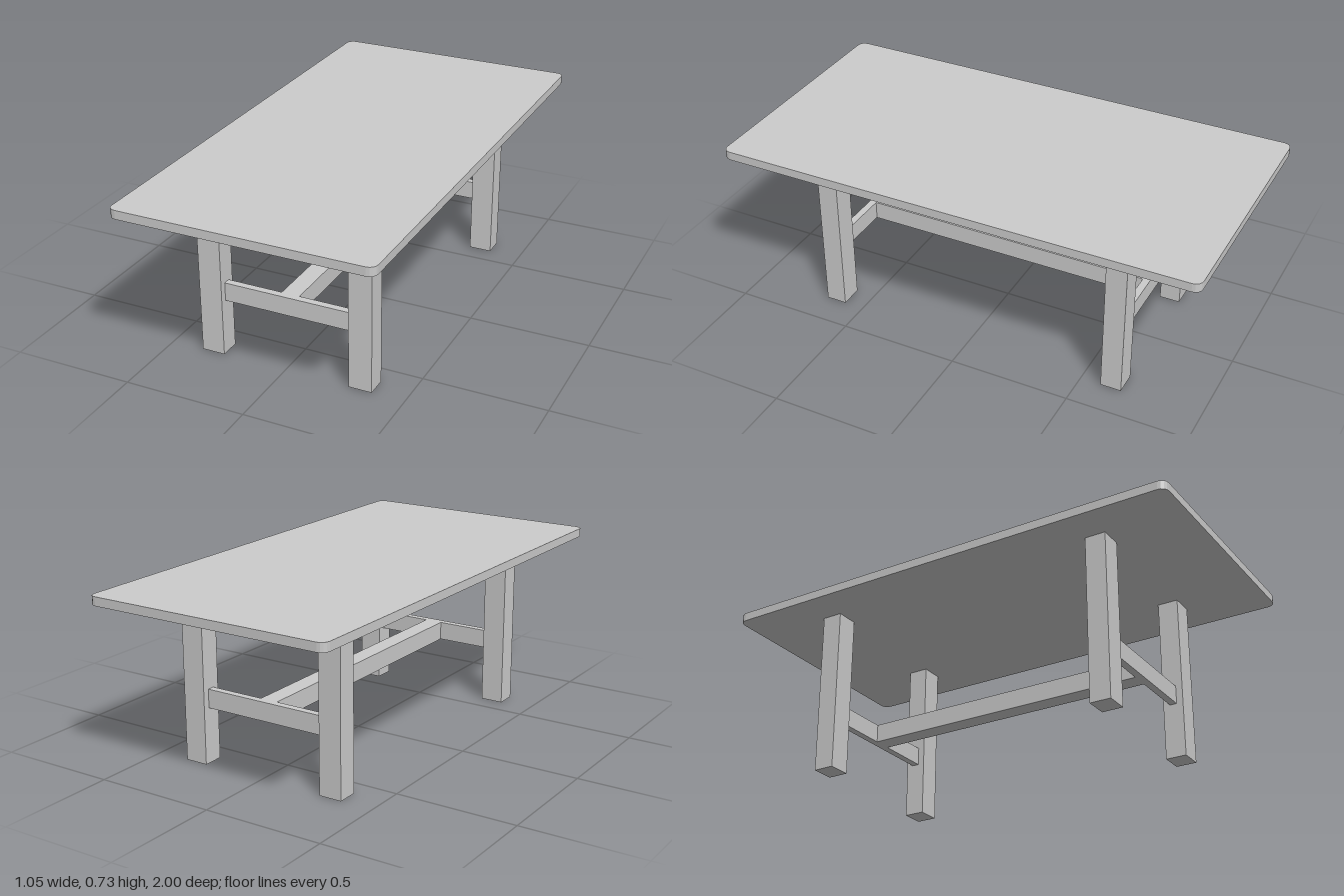
import * as THREE from 'three';

const material = new THREE.MeshStandardMaterial({ color: 0xcccccc, flatShading: true });

function addBox(group, name, size, position) {
  const mesh = new THREE.Mesh(new THREE.BoxGeometry(...size), material);
  mesh.name = name;
  mesh.position.set(...position);
  group.add(mesh);
}

// Rectangle with rounded corners, centred on the origin
function roundedRectangle(halfW, halfD, r) {
  const shape = new THREE.Shape();
  shape.absarc(halfW - r, halfD - r, r, 0, Math.PI / 2);
  shape.absarc(r - halfW, halfD - r, r, Math.PI / 2, Math.PI);
  shape.absarc(r - halfW, r - halfD, r, Math.PI, Math.PI * 1.5);
  shape.absarc(halfW - r, r - halfD, r, Math.PI * 1.5, Math.PI * 2);
  shape.closePath();
  return shape;
}

export function createModel() {
  const table = new THREE.Group();
  table.name = 'table';

  const topBottom = 0.689, topThickness = 0.036;
  const legX = 0.317, legZ = 0.628, legW = 0.096, legD = 0.086;
  const railY = 0.266, railH = 0.077, railT = 0.03;

  // Tabletop with faceted rounded corners
  const topGeometry = new THREE.ExtrudeGeometry(roundedRectangle(0.525, 1, 0.032), {
    depth: topThickness, bevelEnabled: false, curveSegments: 2,
  });
  topGeometry.rotateX(-Math.PI / 2);
  const top = new THREE.Mesh(topGeometry, material);
  top.name = 'tabletop';
  top.position.y = topBottom;
  table.add(top);

  // Each end: two legs joined by a thin cross rail
  for (const [end, sz] of [['front', 1], ['back', -1]]) {
    for (const [side, sx] of [['Left', 1], ['Right', -1]]) {
      addBox(table, `${end}${side}Leg`, [legW, topBottom, legD], [sx * legX, topBottom / 2, sz * legZ]);
    }
    addBox(table, `${end}CrossRail`, [2 * legX - legW, railH, railT], [0, railY, sz * legZ]);
  }

  // Long stretcher between the cross rails
  addBox(table, 'longStretcher', [0.075, railH, 2 * legZ - railT], [0, railY, 0]);

  return table;
}
